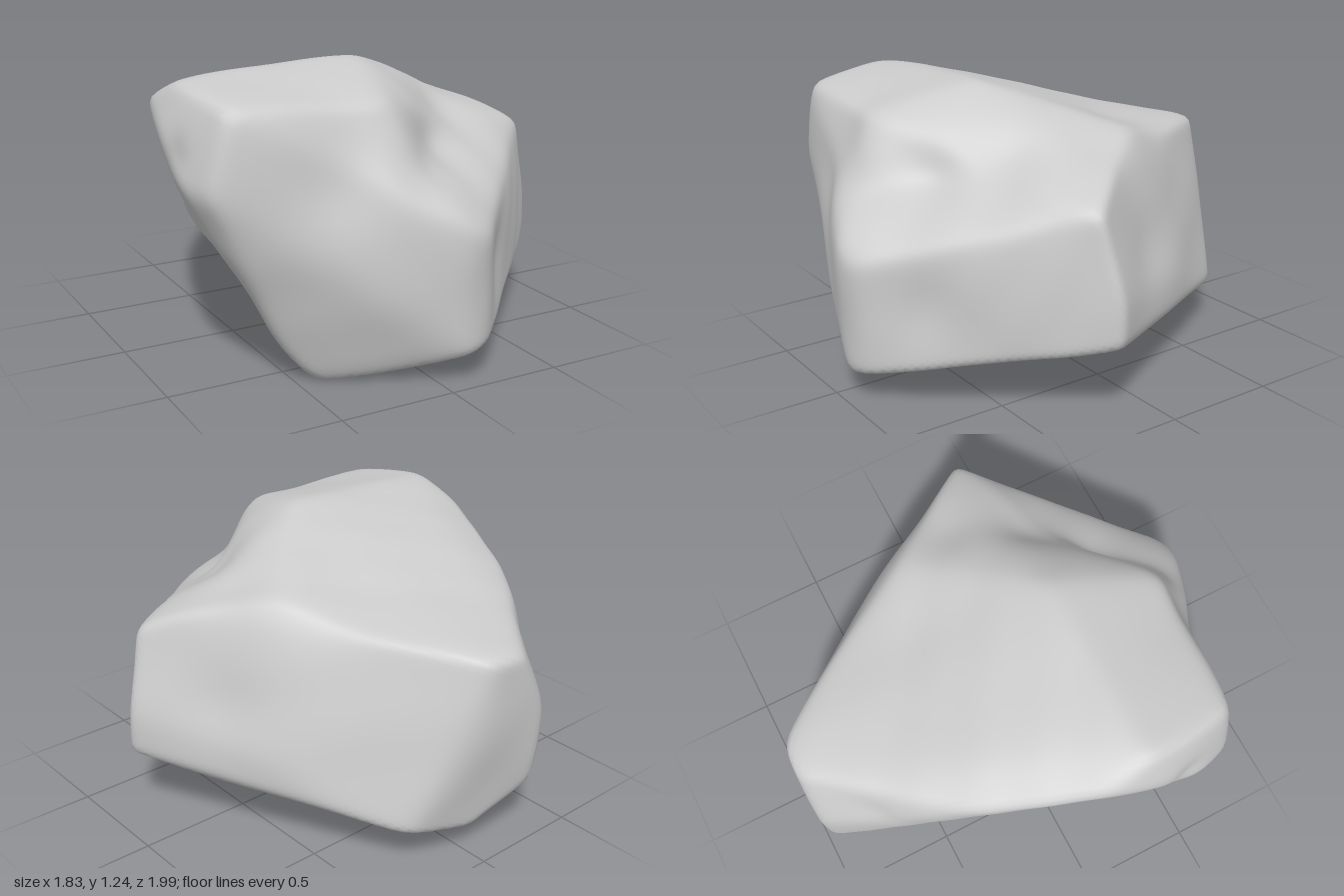
import * as THREE from 'three';
import { mergeVertices } from 'three/addons/utils/BufferGeometryUtils.js';
import { ConvexGeometry } from 'three/addons/geometries/ConvexGeometry.js';

const CENTRE = new THREE.Vector3(0, 0.6, 0.02);
const WEAR = 1.02; // makes up for what the worn edges lose

// main corners of the boulder
const CORNERS = [
  // top plateau
  [-0.84, 1.18, 0.25], [-0.79, 1.13, 0.65], [-0.15, 1.11, 0.71], [-0.02, 1.225, 0.25],
  [-0.68, 0.97, -0.4], [-0.45, 0.92, -0.6], [-0.86, 1.08, 0.03], [-0.77, 1.01, -0.2],
  // ridge along the right of the top
  [0.28, 1.1, -0.04], [0.42, 1.04, -0.22], [0.3, 0.96, -0.52], [0.66, 0.96, 0.06],
  // left edge
  [-0.91, 0.8, 0.5], [-0.91, 1.02, 0.25], [-0.86, 0.8, 0.67], [-0.66, 0.48, 0.67],
  // front corner
  [0.06, 0.65, 0.99], [0.18, 0.6, 0.97], [0.08, 0.12, 0.98], [0.18, 0.13, 0.95],
  // right corner and lower right edge
  [0.81, 0.86, 0.25], [0.91, 0.5, 0.2], [0.91, 0.32, 0.21],
  [0.68, 0.22, -0.08], [0.56, 0.23, -0.38], [0.46, 0.22, -0.62],
  // foot
  [-0.43, 0.0, 0.63], [-0.56, 0.14, 0.6], [-0.1, 0.04, 0.82],
  // back end
  [-0.02, 0.89, -0.97], [-0.17, 0.88, -0.98], [0.0, 0.55, -0.98], [-0.32, 0.58, -0.99],
  [-0.43, 0.6, -0.77], [-0.32, 0.25, -0.95], [-0.05, 0.13, -0.91], [0.3, 0.17, -0.84],
].map(([x, y, z]) => new THREE.Vector3(x, y, z).sub(CENTRE).multiplyScalar(WEAR));

// hollows: x, y, z, radius, depth
const DENTS = [
  // stepped shelf above the front corner
  [-0.01, 0.88, 0.9, 0.13, 0.04], [0.15, 0.93, 0.7, 0.2, 0.1],
  [0.37, 0.96, 0.43, 0.22, 0.08], [0.5, 1.0, 0.05, 0.17, 0.03],
  // front face
  [-0.38, 0.88, 0.8, 0.27, 0.06],
  // right faces
  [0.34, 0.42, 0.82, 0.2, 0.03], [0.7, 0.6, -0.08, 0.22, 0.03],
  // back slope of the top
  [0.08, 1.02, -0.48, 0.35, 0.05],
  // left flank and underside
  [-0.9, 0.92, 0.42, 0.07, 0.02], [-0.64, 0.35, 0.42, 0.15, 0.03],
  [-0.5, 0.4, 0.15, 0.28, 0.07], [0.0, 0.12, -0.1, 0.42, 0.11],
  // back end
  [-0.4, 0.75, -0.74, 0.09, 0.03],
].map(([x, y, z, r, d]) => ({ at: new THREE.Vector3(x, y, z), r, d }));

// flat facets of the hull as planes seen from the centre, near duplicates merged
function facetPlanes() {
  const pos = new ConvexGeometry(CORNERS).attributes.position;
  const planes = [];
  const [a, b, c] = [0, 1, 2].map(() => new THREE.Vector3());
  for (let i = 0; i < pos.count; i += 3) {
    [a, b, c].forEach((v, k) => v.fromBufferAttribute(pos, i + k));
    const n = b.clone().sub(a).cross(c.clone().sub(a)).normalize();
    const h = n.dot(a);
    if (!planes.some((p) => p.n.dot(n) > 0.995 && Math.abs(p.h - h) < 0.02)) planes.push({ n, h });
  }
  return planes;
}

// gentle weathering
const ripple = (p) =>
  0.005 * Math.sin(7 * p.x + 3 * p.y + 1) * Math.sin(6 * p.z - 4 * p.y) +
  0.002 * Math.sin(15 * p.x - 9 * p.z) * Math.sin(14 * p.y + 8 * p.z + 2);

// ball pushed out to the facets, with softly worn edges
function boulderGeometry() {
  const planes = facetPlanes();
  const SHARP = 60;
  let geo = new THREE.IcosahedronGeometry(1, 44);
  geo.deleteAttribute('normal');
  geo.deleteAttribute('uv');
  geo = mergeVertices(geo, 1e-4);
  const pos = geo.attributes.position;
  const dir = new THREE.Vector3();
  const p = new THREE.Vector3();
  for (let i = 0; i < pos.count; i++) {
    dir.fromBufferAttribute(pos, i).normalize();
    const q = planes.map(({ n, h }) => Math.max(0, dir.dot(n) / h));
    const top = Math.max(...q);
    const sum = q.reduce((s, v) => s + (v / top) ** SHARP, 0);
    let r = 1 / (top * sum ** (1 / SHARP));
    p.copy(dir).multiplyScalar(r).add(CENTRE);
    r += ripple(p);
    for (const { at, r: size, d } of DENTS) r -= d * Math.exp(-p.distanceToSquared(at) / (size * size));
    p.copy(dir).multiplyScalar(r).add(CENTRE);
    pos.setXYZ(i, p.x, p.y, p.z);
  }
  // stand it centred on the ground
  geo.computeBoundingBox();
  const { min, max } = geo.boundingBox;
  geo.translate(-(min.x + max.x) / 2, -min.y, -(min.z + max.z) / 2);
  geo.computeVertexNormals();
  return geo;
}

export function createModel() {
  const group = new THREE.Group();
  group.name = 'rock';
  const boulder = new THREE.Mesh(boulderGeometry(), new THREE.MeshStandardMaterial({ color: 0xcccccc }));
  boulder.name = 'boulder';
  group.add(boulder);
  return group;
}
